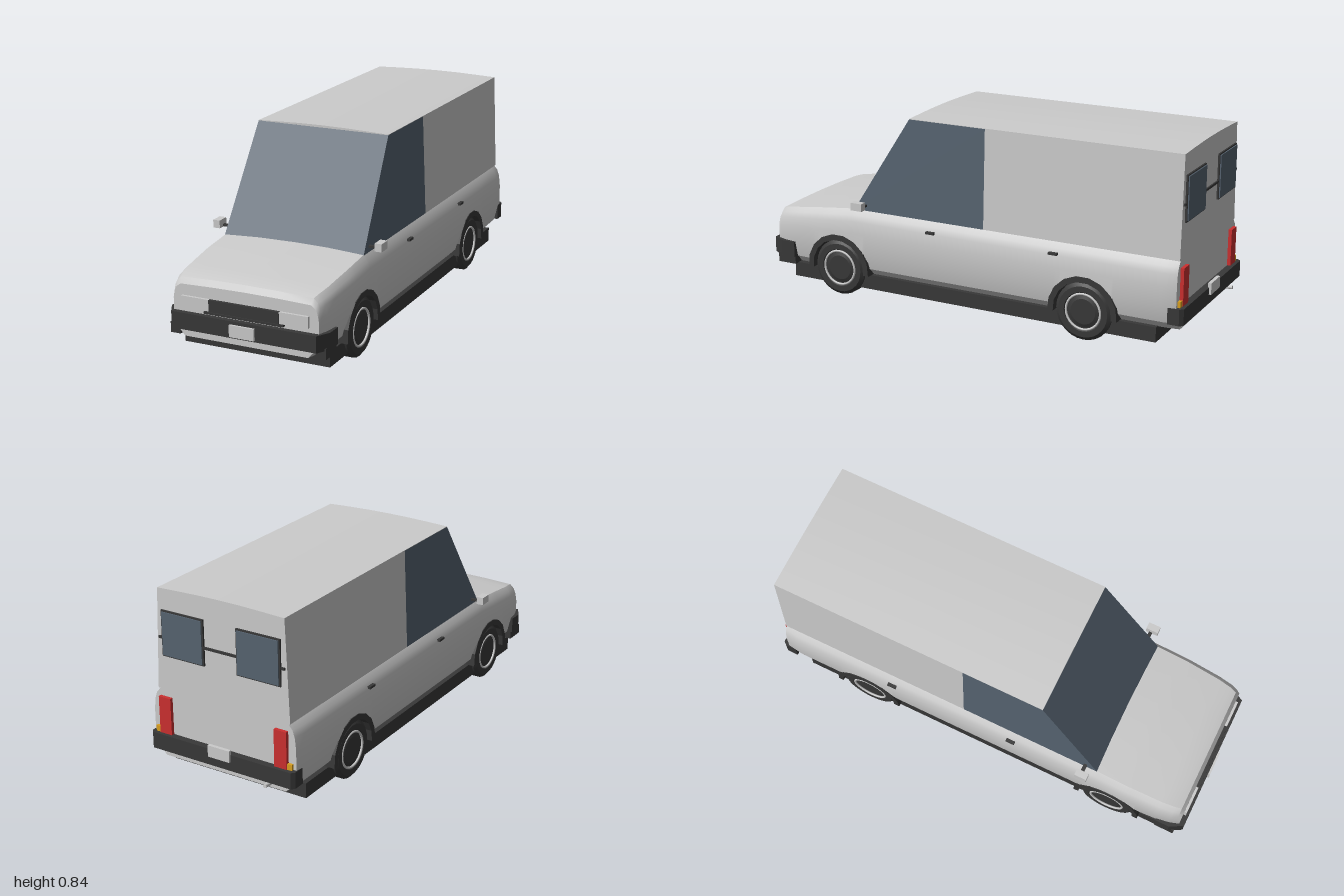
import * as THREE from 'three';
import { toCreasedNormals } from 'three/addons/utils/BufferGeometryUtils.js';

const mat = (color, side = THREE.FrontSide) => new THREE.MeshStandardMaterial({ color, side });
const grey = mat(0xcccccc);
const dark = mat(0x383838);
const glass = mat(0x566370);
const red = mat(0xcc3030);
const amber = mat(0xd9a020);

const WHEEL_Z = [0.63, -0.555];
const AXLE_Y = 0.125;
const ARCH_R = 0.14;

export function createModel() {
  const model = new THREE.Group();
  model.name = 'van';

  const add = (name, geometry, material, x = 0, y = 0, z = 0, parent = model) => {
    const mesh = new THREE.Mesh(geometry, material);
    mesh.name = name;
    mesh.position.set(x, y, z);
    parent.add(mesh);
    return mesh;
  };
  // Box given by its limits on each axis
  const block = (name, material, [x0, x1], [y0, y1], [z0, z1]) =>
    add(name, new THREE.BoxGeometry(x1 - x0, y1 - y0, z1 - z0), material,
      (x0 + x1) / 2, (y0 + y1) / 2, (z0 + z1) / 2);
  // Bar with a plan outline of [x, z] points
  const planBar = (name, points, yTop, height) => {
    const shape = new THREE.Shape(points.map(([x, z]) => new THREE.Vector2(x, z)));
    const g = new THREE.ExtrudeGeometry(shape, { depth: height, bevelEnabled: false });
    add(name, g.rotateX(Math.PI / 2), dark, 0, yTop, 0);
  };

  // Lower body: one half section repeated along z, lifted over the wheels
  const half = [[0.16, 0.409], [0.316, 0.402], [0.336, 0.378], [0.346, 0.35], [0.352, 0.30],
    [0.352, 0.21], [0.335, 0.14], [0.30, 0.105]];
  const section = [[0, 0.411], ...half.map(([x, y]) => [-x, y]), ...half.slice().reverse()];
  const stations = [-0.96, -0.94, -0.9, -0.3, 0, 0.3, 0.45, 0.555, 0.8, 0.86, 0.92, 0.95, 0.965];
  for (const c of WHEEL_Z) {
    for (let i = 0; i <= 12; i++) stations.push(c + ARCH_R * Math.cos((i * Math.PI) / 12) * 0.999);
    stations.push(c - ARCH_R - 0.0005, c + ARCH_R + 0.0005);
  }
  stations.sort((a, b) => a - b);
  const bodyRings = stations.map((z) => {
    const top = curve([[-1, 0.411], [0.555, 0.411], [0.7, 0.395], [0.83, 0.377], [0.92, 0.363],
      [0.95, 0.353], [0.965, 0.328]], z);
    const width = curve([[-0.96, 0.975], [-0.9, 1], [0.7, 1], [0.86, 0.975], [0.92, 0.95],
      [0.965, 0.91]], z);
    const arch = archHeight(z);
    return section.map(([x, y]) => {
      const lift = THREE.MathUtils.clamp((y - 0.2) / 0.21, 0, 1);
      return [x * width, Math.max(y - (0.411 - top) * lift, arch), z];
    });
  });
  add('lowerBody', loft(bodyRings), grey);

  // Cargo box, glazed cab and crowned roof
  const walls = [[0.3, 0.83], [-0.3, 0.83], [-0.318, 0.4], [0.318, 0.4]];
  const ring = (points, zAt) => points.map(([x, y]) => [x, y, zAt(y)]);
  add('cargoBox', loft([ring(walls, () => -0.96), ring(walls, () => -0.08)]), grey);
  add('cabGlass', loft([ring(walls, () => -0.08),
    ring(walls, (y) => 0.555 - ((y - 0.405) * 0.275) / 0.43)]), glass);
  const roof = [[0, 0.84], [-0.1, 0.839], [-0.2, 0.836], [-0.3, 0.832], [-0.3, 0.827],
    [0.3, 0.827], [0.3, 0.832], [0.2, 0.836], [0.1, 0.839]];
  add('roof', loft([ring(roof, () => -0.96), ring(roof, () => 0.283)]), grey);

  // Underside
  block('chassis', dark, [-0.325, 0.325], [0.043, 0.108], [-0.87, 0.88]);
  for (const z of WHEEL_Z) {
    block('wheelWell', dark, [-0.255, 0.255], [0.1, 0.27], [z - 0.15, z + 0.15]);
  }
  const pipe = new THREE.CylinderGeometry(0.008, 0.008, 0.25, 10).rotateX(Math.PI / 2 + 0.06);
  add('exhaustPipe', pipe, grey, -0.22, 0.118, -0.875);

  // Wheels and arch trims
  const tyre = new THREE.LatheGeometry([[0.001, -0.04], [0.11, -0.04], [0.125, -0.028],
    [0.125, 0.028], [0.11, 0.04], [0.085, 0.04], [0.078, 0.03], [0.001, 0.03]]
    .map(([r, y]) => new THREE.Vector2(r, y)), 28).rotateZ(-Math.PI / 2);
  const tyreGeometry = toCreasedNormals(tyre, 0.5);
  const rim = new THREE.TorusGeometry(0.077, 0.005, 8, 28).rotateY(Math.PI / 2);
  const hub = new THREE.CylinderGeometry(0.055, 0.07, 0.006, 24).rotateZ(-Math.PI / 2);
  const archShape = new THREE.Shape();
  const arcPoint = (r, i) => [r * Math.cos(-0.1 + (i * (Math.PI + 0.2)) / 9),
    r * Math.sin(-0.1 + (i * (Math.PI + 0.2)) / 9)];
  for (let i = 0; i <= 9; i++) archShape[i ? 'lineTo' : 'moveTo'](...arcPoint(0.156, i));
  for (let i = 9; i >= 0; i--) archShape.lineTo(...arcPoint(0.131, i));
  const archTrim = new THREE.ExtrudeGeometry(archShape, { depth: 0.065, bevelEnabled: false })
    .rotateY(Math.PI / 2).translate(-0.0325, 0, 0);
  for (const s of [1, -1]) {
    for (const z of WHEEL_Z) {
      const wheel = new THREE.Group();
      wheel.name = 'wheel';
      wheel.position.set(s * 0.305, AXLE_Y, z);
      if (s < 0) wheel.rotation.y = Math.PI;
      add('tyre', tyreGeometry, dark, 0, 0, 0, wheel);
      add('rimRing', rim, grey, 0.036, 0, 0, wheel);
      add('hubCap', hub, dark, 0.033, 0, 0, wheel);
      model.add(wheel);
      add('wheelArch', archTrim, dark, s * 0.323, AXLE_Y, z);
    }
  }

  // Front end
  planBar('frontBumper', [[-0.352, 0.865], [-0.352, 0.93], [-0.32, 0.988], [0.32, 0.988],
    [0.352, 0.93], [0.352, 0.865]], 0.21, 0.07);
  block('grille', dark, [-0.155, 0.155], [0.225, 0.277], [0.95, 0.978]);
  block('grilleLip', dark, [-0.175, 0.175], [0.219, 0.228], [0.95, 0.982]);
  block('frontPlate', grey, [-0.055, 0.055], [0.147, 0.197], [0.98, 0.997]);

  // Rear end
  planBar('rearBumper', [[-0.348, -0.925], [-0.348, -0.975], [-0.335, -0.99], [0.335, -0.99],
    [0.348, -0.975], [0.348, -0.925]], 0.21, 0.07);
  block('rearPlate', grey, [-0.052, 0.052], [0.18, 0.23], [-1, -0.985]);
  block('rearDoorBar', dark, [-0.3, 0.3], [0.622, 0.632], [-0.967, -0.955]);

  // Mirrored pairs
  for (const s of [1, -1]) {
    const span = (a, b) => (s > 0 ? [a, b] : [-b, -a]);
    block('bumperCorner', dark, span(0.3, 0.345), [0.105, 0.15], [0.865, 0.955]);
    block('headlight', grey, span(0.155, 0.28), [0.229, 0.277], [0.95, 0.976]);
    block('rearWindowFrame', dark, span(0.078, 0.282), [0.55, 0.745], [-0.968, -0.95]);
    block('rearWindow', glass, span(0.084, 0.276), [0.556, 0.739], [-0.973, -0.95]);
    block('tailLight', red, span(0.25, 0.308), [0.21, 0.37], [-0.975, -0.95]);
    block('rearIndicator', amber, span(0.308, 0.33), [0.205, 0.235], [-0.972, -0.95]);
    block('mirrorArm', dark, span(0.3, 0.36), [0.419, 0.428], [0.495, 0.51]);
    block('mirror', grey, span(0.355, 0.386), [0.416, 0.45], [0.48, 0.535]);
    for (const z of [0.16, -0.42]) {
      block('doorHandle', dark, span(0.335, 0.356), [0.352, 0.362], [z - 0.02, z + 0.02]);
    }
  }
  return model;
}

// Piecewise linear value of y at x
function curve(points, x) {
  for (let i = 1; i < points.length; i++) {
    const [x0, y0] = points[i - 1];
    const [x1, y1] = points[i];
    if (x <= x1) return y0 + ((y1 - y0) * Math.max(0, x - x0)) / (x1 - x0);
  }
  return points[points.length - 1][1];
}

// Height of the wheel opening at z, zero away from the wheels
function archHeight(z) {
  for (const c of WHEEL_Z) {
    const d = Math.abs(z - c);
    if (d <= ARCH_R) return AXLE_Y + Math.sqrt(ARCH_R * ARCH_R - d * d);
  }
  return 0;
}

// Capped skin over rings running back to front, each counterclockwise seen from the front
function loft(rings) {
  const n = rings[0].length;
  const positions = rings.flat(2);
  const index = [];
  for (let i = 0; i < rings.length - 1; i++) {
    for (let j = 0; j < n; j++) {
      const a = i * n + j, b = i * n + ((j + 1) % n);
      index.push(a, b, a + n, b, b + n, a + n);
    }
  }
  const last = (rings.length - 1) * n;
  const outline = rings[0].map(([x, y]) => new THREE.Vector2(x, y));
  for (const [a, b, c] of THREE.ShapeUtils.triangulateShape(outline, [])) {
    index.push(a, c, b, last + a, last + b, last + c);
  }
  const g = new THREE.BufferGeometry();
  g.setAttribute('position', new THREE.Float32BufferAttribute(positions, 3));
  g.setIndex(index);
  return toCreasedNormals(g, 0.5);
}
